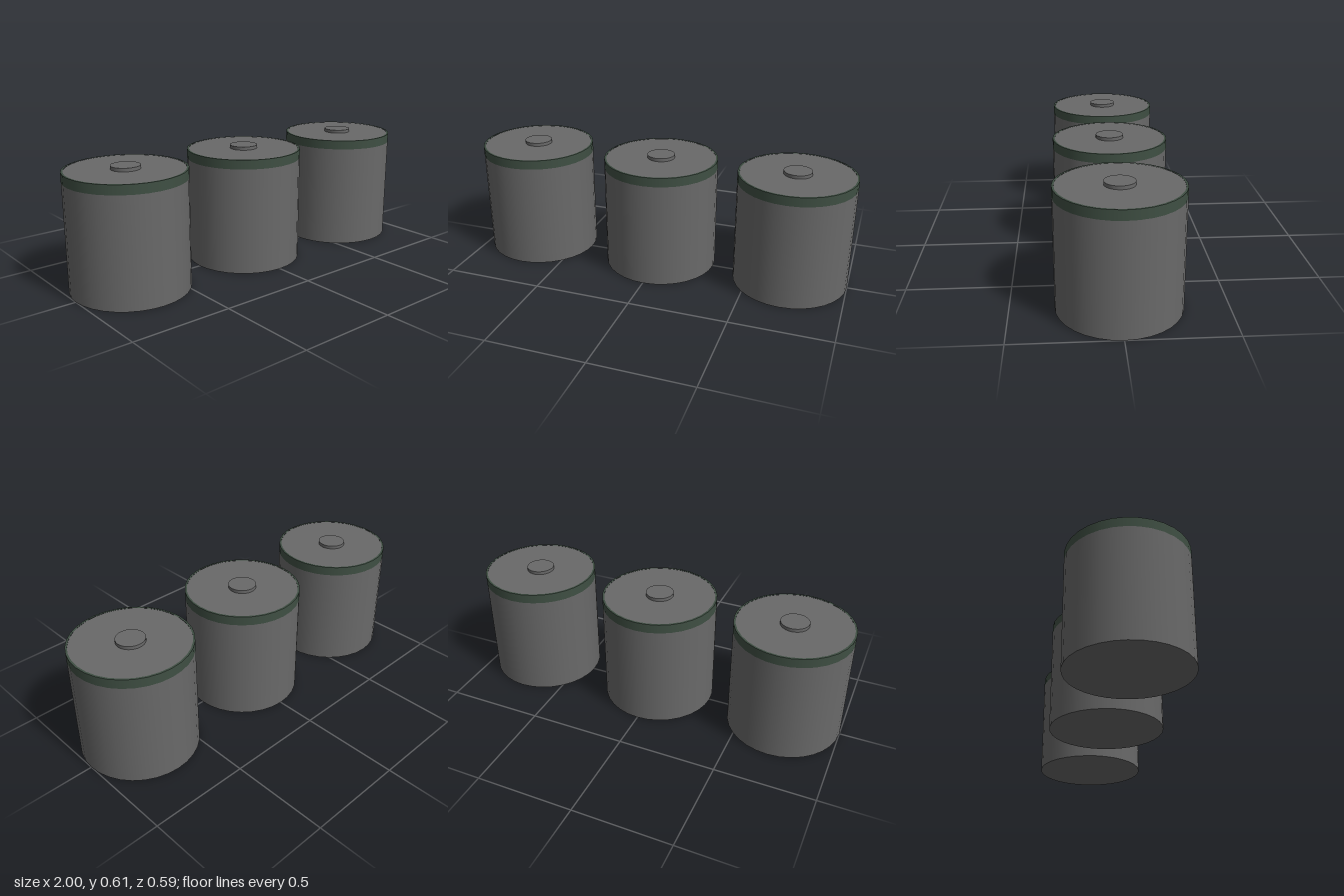
import * as THREE from 'three';

const SIDES = 32;
const R = 0.294, BAND_Y = 0.542, TOP_Y = 0.589, RIM = 0.284;

const grey = new THREE.MeshStandardMaterial({ color: 0x696969 });
const green = new THREE.MeshStandardMaterial({ color: 0x3f4f43 });

function part(name, geometry, material, y = 0) {
  const mesh = new THREE.Mesh(geometry, material);
  mesh.name = name;
  mesh.position.y = y;
  return mesh;
}

// Closed cylinder standing between two heights
function disc(name, radius, y0, y1, material) {
  return part(name, new THREE.CylinderGeometry(radius, radius, y1 - y0, SIDES), material, (y0 + y1) / 2);
}

function createDrum() {
  const drum = new THREE.Group();
  drum.name = 'drum';

  // Main can and the lid set just inside the rim
  drum.add(disc('body', R, 0, BAND_Y, grey));
  drum.add(disc('lid', RIM, BAND_Y, TOP_Y - 0.001, grey));

  // Coloured band: outer wall and narrow flat rim
  const wall = new THREE.CylinderGeometry(R, R, TOP_Y - BAND_Y, SIDES, 1, true);
  drum.add(part('band', wall, green, (TOP_Y + BAND_Y) / 2));
  const rim = new THREE.RingGeometry(RIM, R, SIDES).rotateX(-Math.PI / 2);
  drum.add(part('bandRim', rim, green, TOP_Y));

  // Raised button in the middle of the lid
  drum.add(disc('button', 0.071, TOP_Y - 0.002, 0.605, grey));
  return drum;
}

export function createModel() {
  const model = new THREE.Group();
  model.name = 'drumRow';
  for (const i of [-1, 0, 1]) {
    const drum = createDrum();
    drum.position.x = i * 0.706;
    model.add(drum);
  }
  return model;
}
